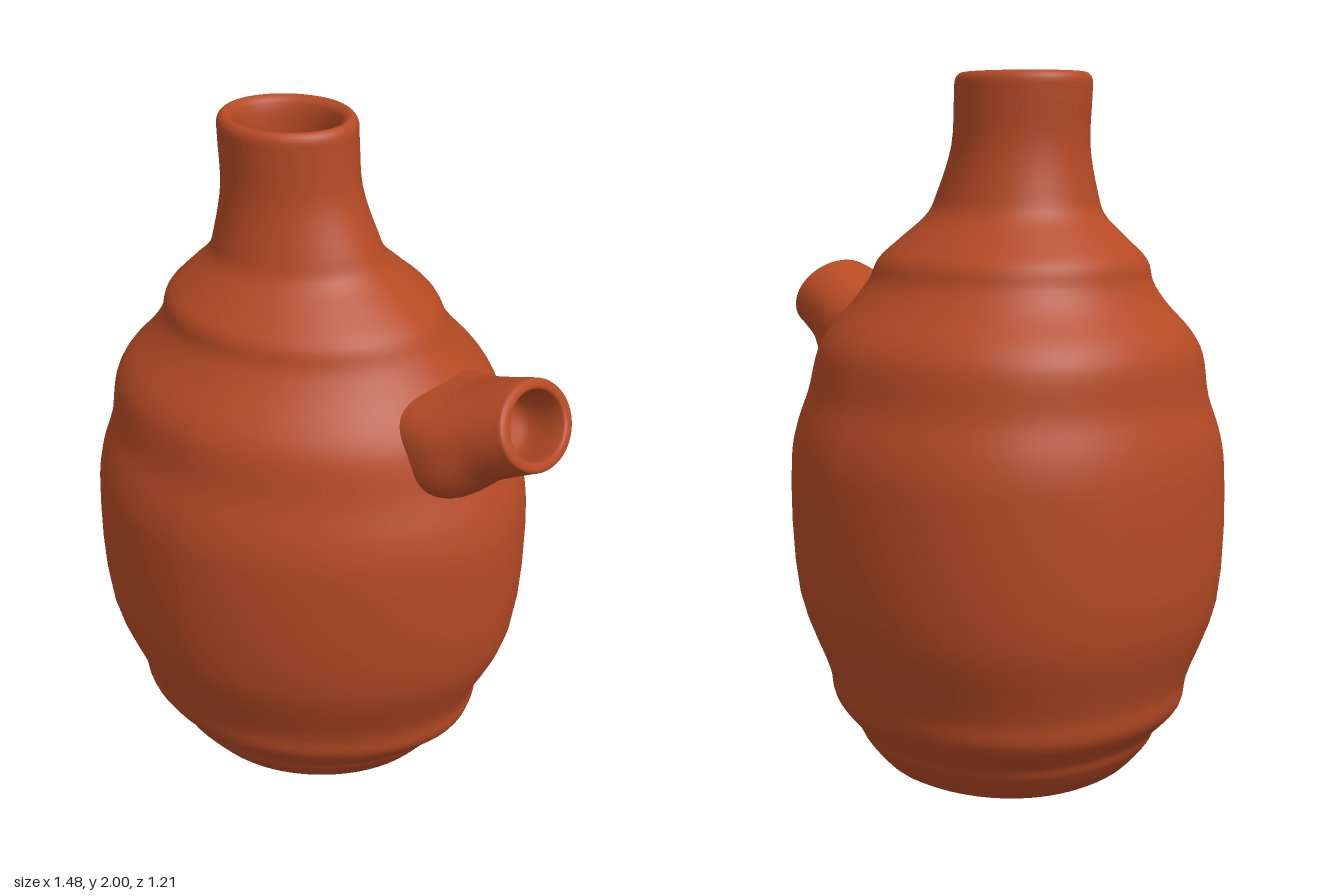
import * as THREE from 'three';

const SEG = 72;
const { lerp, smoothstep } = THREE.MathUtils;

// Smoothly lofts closed rings of points into one skin; columns are splined between the rings.
function loft(rings, steps) {
  const cols = rings[0].map((_, j) => new THREE.CatmullRomCurve3(rings.map((r) => r[j])));
  const rows = (rings.length - 1) * steps;
  const pos = [];
  const index = [];
  for (let i = 0; i <= rows; i++) {
    for (const c of cols) {
      const p = c.getPoint(i / rows);
      pos.push(p.x, Math.max(0, p.y), p.z);
    }
  }
  for (let i = 0; i < rows; i++) {
    for (let j = 0; j < SEG; j++) {
      const a = i * SEG + j;
      const b = i * SEG + ((j + 1) % SEG);
      index.push(a, a + SEG, b, b, a + SEG, b + SEG);
    }
  }
  const g = new THREE.BufferGeometry();
  g.setAttribute('position', new THREE.Float32BufferAttribute(pos, 3));
  g.setIndex(index);
  g.computeVertexNormals();
  return g;
}

const power = (v, p) => Math.sign(v) * Math.pow(Math.abs(v), 2 / p);
const around = (fn) => Array.from({ length: SEG }, (_, j) => {
  const a = (j / SEG) * Math.PI * 2;
  return fn(Math.cos(a), Math.sin(a));
});

// Copy of a ring scaled about its centre and slid along an axis.
function inset(ring, scale, slide, axis) {
  const mid = ring.reduce((m, p) => m.add(p), new THREE.Vector3()).divideScalar(SEG);
  return ring.map((p) => p.clone().sub(mid).multiplyScalar(scale).add(mid).addScaledVector(axis, slide));
}

// Egg-shaped level ring: blunt on the -x side, more pointed towards the spout, rounder at the neck.
function eggRing([y, x0, x1, hz]) {
  const t = smoothstep(y, 1.2, 1.75);
  const xm = lerp(-0.1, -0.17, t);
  const zc = lerp(0.007, 0.025, t);
  return around((c, s) => {
    const p = c > 0 ? lerp(1.78, 1.9, t) : lerp(2.25, 1.95, t);
    const w = c > 0 ? x1 - xm : xm - x0;
    return new THREE.Vector3(xm + w * power(c, p), y, zc + hz * power(s, p));
  });
}

// Tilted spout ring given by its top and bottom points, half width and squareness.
function spoutRing([tx, ty, bx, by, hz, p]) {
  return around((c, s) => {
    const k = (1 + power(c, p)) / 2;
    return new THREE.Vector3(lerp(tx, bx, k), lerp(ty, by, k), 0.005 + hz * power(s, p));
  });
}

export function createModel() {
  const group = new THREE.Group();
  const clay = new THREE.MeshStandardMaterial({ color: 0xb54a24 });
  clay.name = 'terracotta';

  // Jug wall: y, xMin, xMax, half depth
  const wall = [
    [0, -0.47, 0.26, 0.335],
    [0.08, -0.545, 0.335, 0.41],
    [0.12, -0.565, 0.365, 0.43],
    [0.2, -0.635, 0.44, 0.49],
    [0.28, -0.65, 0.455, 0.507],
    [0.51, -0.73, 0.56, 0.585],
    [0.9, -0.74, 0.585, 0.6],
    [1.0, -0.725, 0.565, 0.583],
    [1.1, -0.695, 0.525, 0.55],
    [1.22, -0.68, 0.48, 0.528],
    [1.28, -0.65, 0.44, 0.498],
    [1.36, -0.58, 0.37, 0.428],
    [1.42, -0.545, 0.325, 0.385],
    [1.48, -0.53, 0.29, 0.365],
    [1.54, -0.475, 0.22, 0.305],
    [1.61, -0.405, 0.135, 0.238],
    [1.67, -0.385, 0.105, 0.217],
    [1.8, -0.365, 0.05, 0.19],
    [1.94, -0.375, 0.035, 0.188],
    [1.985, -0.375, 0.03, 0.185],
  ].map(eggRing);
  const up = new THREE.Vector3(0, 1, 0);
  const floor = [0.01, 0.96].map((k) => inset(wall[0], k, 0, up));
  // rolled rim, then down the inside of the neck: scale, slide
  const mouth = [[0.91, 0.015], [0.78, -0.005], [0.72, -0.135], [0.6, -0.265], [0.01, -0.305]]
    .map(([k, d]) => inset(wall.at(-1), k, d, up));
  const body = new THREE.Mesh(loft([...floor, ...wall, ...mouth], 4), clay);
  body.name = 'jugBody';

  // Spout wall: topX, topY, bottomX, bottomY, half width, squareness
  const tube = [
    [0.3, 1.34, 0.38, 1.06, 0.2, 3],
    [0.38, 1.355, 0.46, 1.07, 0.205, 3],
    [0.45, 1.372, 0.525, 1.085, 0.2, 2.6],
    [0.53, 1.405, 0.61, 1.155, 0.172, 2.2],
    [0.61, 1.436, 0.715, 1.21, 0.153, 2],
    [0.632, 1.44, 0.735, 1.222, 0.148, 2],
  ].map(spoutRing);
  const along = new THREE.Vector3(0.91, 0.41, 0);
  // flat lip, then down the inside of the spout: scale, slide
  const lip = [[0.8, 0.003], [0.76, -0.025], [0.68, -0.14], [0.01, -0.15]]
    .map(([k, d]) => inset(tube.at(-1), k, d, along));
  const spout = new THREE.Mesh(loft([...tube, ...lip], 4), clay);
  spout.name = 'spout';

  group.add(body, spout);
  return group;
}
